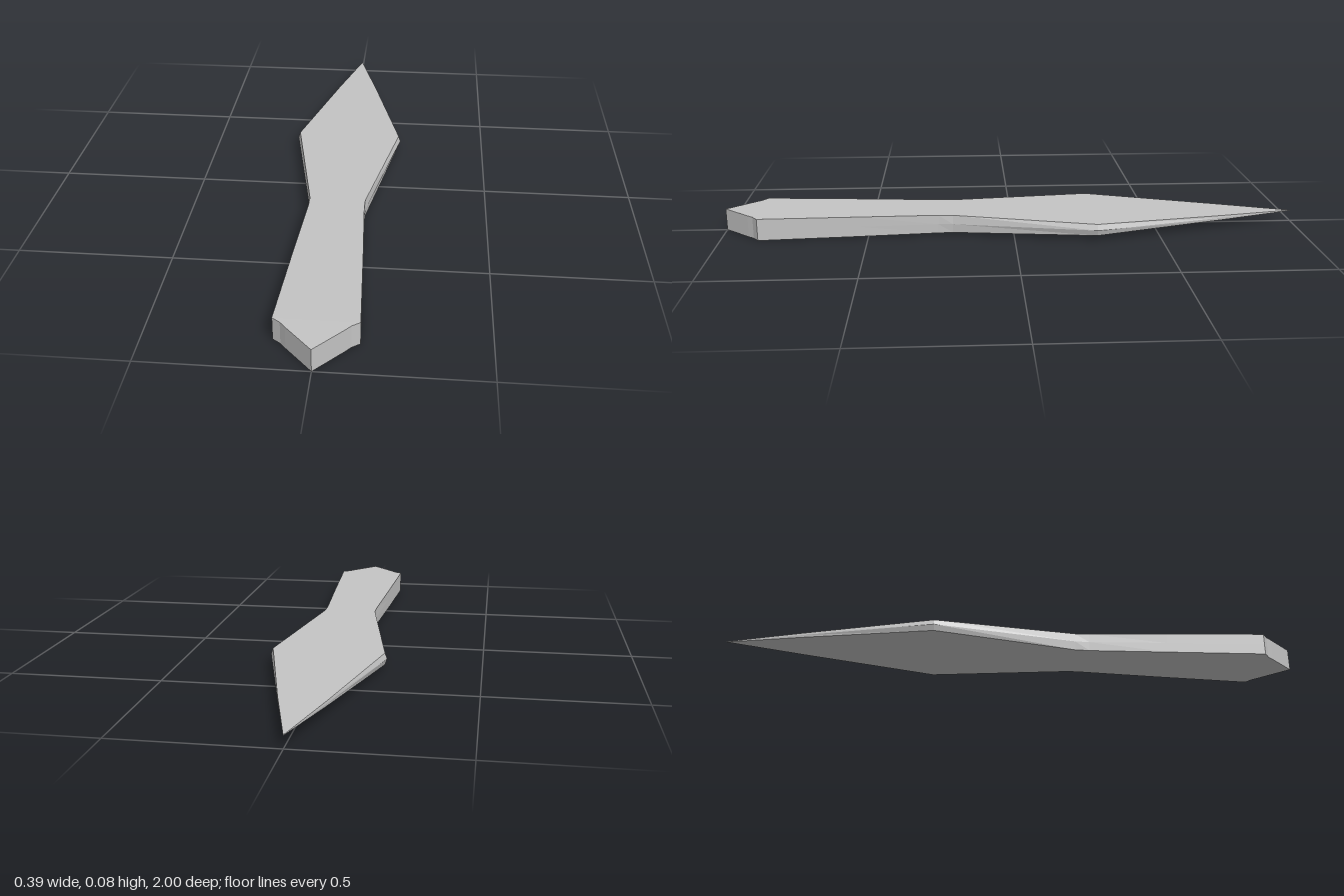
import * as THREE from 'three';

// Cross-sections from butt to tip: [z, face half-width, edge half-width, half-thickness]
const SECTIONS = [
  [1.0, 0, 0, 0.038],
  [0.91, 0.083, 0.083, 0.038],
  [0.89, 0.1, 0.1, 0.038],
  [0.872, 0.125, 0.125, 0.038],
  [0.53, 0.108, 0.108, 0.035],
  [0.26, 0.093, 0.094, 0.032],
  [0.21, 0.093, 0.096, 0.031],
  [-0.28, 0.186, 0.193, 0.02],
  [-0.73, 0.073, 0.074, 0.008],
  [-1.0, 0, 0, 0.001],
];
const MID_Y = 0.039;

// Six-sided rings joined into a flat-faced solid
function loft(sections) {
  const rings = sections.map(([z, w, m, h]) =>
    [[w, h], [-w, h], [-m, 0], [-w, -h], [w, -h], [m, 0]]
      .map(([x, y]) => new THREE.Vector3(x, MID_Y + y, z)));
  const positions = [];
  const addFace = (a, b, c) => {
    if (new THREE.Triangle(a, b, c).getArea() < 1e-9) return;
    for (const p of [a, b, c]) positions.push(p.x, p.y, p.z);
  };
  for (let i = 0; i < rings.length - 1; i++) {
    for (let j = 0; j < 6; j++) {
      const k = (j + 1) % 6;
      const a = rings[i][j], b = rings[i][k];
      const c = rings[i + 1][j], d = rings[i + 1][k];
      addFace(a, c, b);
      addFace(b, c, d);
    }
  }
  const geometry = new THREE.BufferGeometry();
  geometry.setAttribute('position', new THREE.Float32BufferAttribute(positions, 3));
  geometry.computeVertexNormals();
  return geometry;
}

export function createModel() {
  const group = new THREE.Group();
  group.name = 'throwingBlade';

  const steel = new THREE.MeshStandardMaterial({ color: 0xc4c4c4 });
  steel.name = 'steel';
  steel.flatShading = true;

  // Grip and pointed blade in one forged piece
  const blade = new THREE.Mesh(loft(SECTIONS), steel);
  blade.name = 'blade';
  group.add(blade);
  return group;
}
